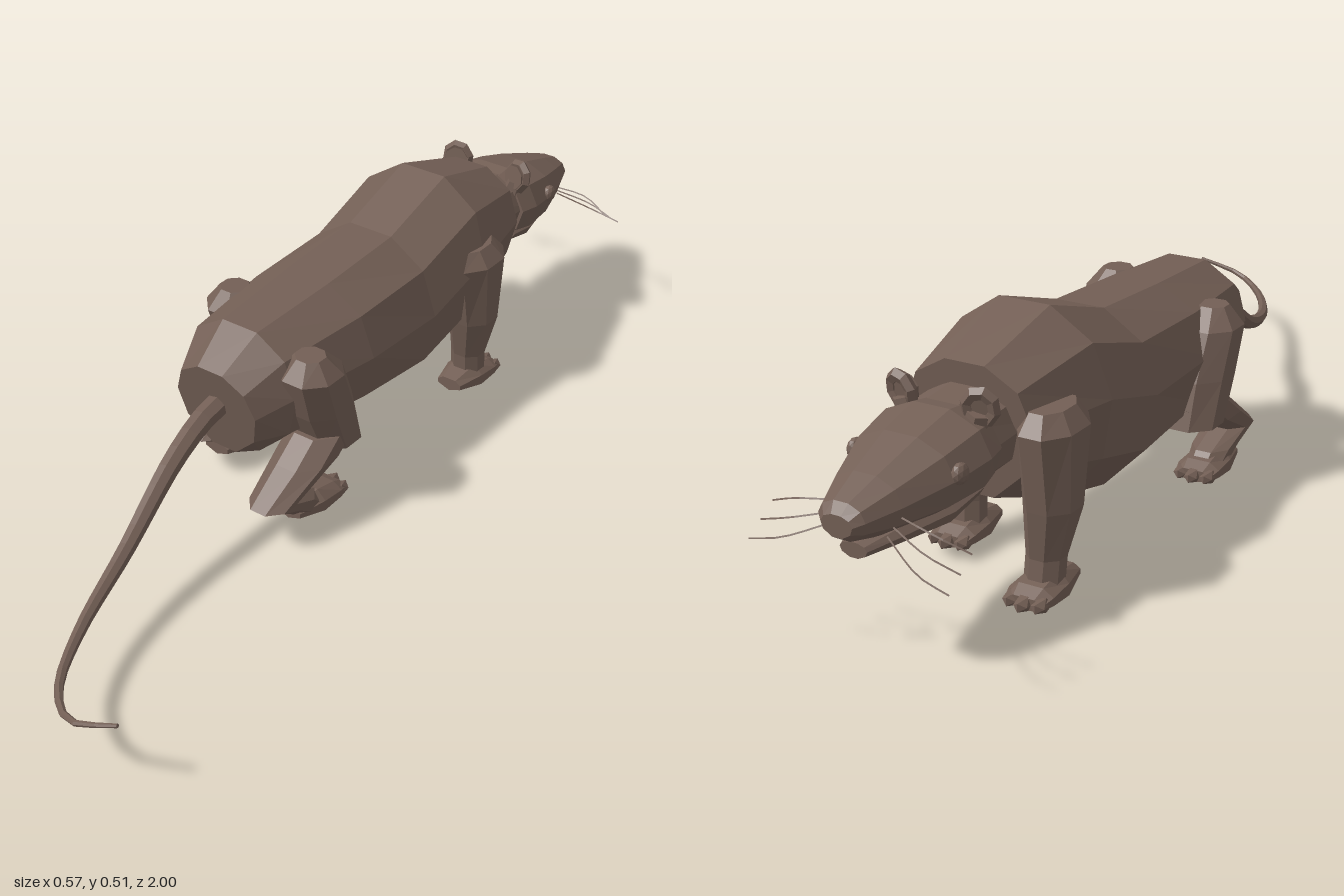
import * as THREE from 'three';

const fur = new THREE.MeshStandardMaterial({ color: 0x735f55, flatShading: true });
fur.name = 'brownFur';
const CX = -0.077; // the body's midline
const V = (x, y, z) => new THREE.Vector3(x, y, z);

// Skin a closed surface over rings of equal point counts
function loft(rings) {
  const n = rings[0].length, tri = [];
  for (let i = 0; i < rings.length - 1; i++) {
    for (let j = 0; j < n; j++) {
      const k = (j + 1) % n, a = rings[i], b = rings[i + 1];
      tri.push([a[j], a[k], b[k]], [a[j], b[k], b[j]]);
    }
  }
  const cap = (r, flip) => {
    const c = V(0, 0, 0);
    r.forEach(p => c.addScaledVector(p, 1 / n));
    r.forEach((p, j) => tri.push(flip ? [c, r[(j + 1) % n], p] : [c, p, r[(j + 1) % n]]));
  };
  cap(rings[0], true);
  cap(rings[rings.length - 1], false);
  // turn the surface outward by its signed volume
  let volume = 0;
  tri.forEach(([a, b, c]) => { volume += a.dot(V(0, 0, 0).crossVectors(b, c)); });
  const pts = tri.flatMap(([a, b, c]) => (volume < 0 ? [a, c, b] : [a, b, c]));
  const g = new THREE.BufferGeometry().setFromPoints(pts);
  g.computeVertexNormals();
  return g;
}

// Upright ten-sided section, flat on top and below
const half = [[0.31, 1], [0.8, 0.85], [1, 0.58], [0.86, 0.26], [0.31, 0]];
const section = ([z, top, bottom, w, lean = 0]) =>
  [...half, ...half.slice().reverse().map(([x, y]) => [-x, y])]
    .map(([x, y]) => V(x * w, bottom + y * (top - bottom), z + lean * (y - 0.5)));

// Level eight-sided section for limbs
const limbRing = ([x, y, z, rx, rz, tilt = 0]) => Array.from({ length: 8 }, (_, i) => {
  const a = (i + 0.5) / 8 * Math.PI * 2, s = 1 / Math.cos(Math.PI / 8);
  return V(x + Math.cos(a) * rx * s, y + Math.sin(a) * tilt, z + Math.sin(a) * rz * s);
});

// Foot section with a keeled sole
const footRing = ([z, top, bottom, w]) =>
  [[0.55, 1], [1, 0.7], [1, 0.36], [0, 0], [-1, 0.36], [-1, 0.7], [-0.55, 1]]
    .map(([x, y]) => V(x * w, bottom + y * (top - bottom), z));

export function createModel() {
  const model = new THREE.Group();
  model.name = 'rat';
  const add = (parent, name, geometry) => {
    const m = new THREE.Mesh(geometry, fur);
    m.name = name;
    parent.add(m);
    return m;
  };
  const group = (name, x = 0, z = 0) => {
    const g = new THREE.Group();
    g.name = name;
    g.position.set(x, 0, z);
    model.add(g);
    return g;
  };
  const trunk = group('trunk', CX);

  // Torso: z, top, bottom, half width, lean
  add(trunk, 'torso', loft([
    [0.278, 0.37, 0.17, 0.1, 0.035], [0.2, 0.428, 0.145, 0.14], [-0.02, 0.44, 0.118, 0.17],
    [-0.24, 0.452, 0.085, 0.172], [-0.42, 0.515, 0.125, 0.178, -0.03], [-0.62, 0.457, 0.2, 0.135, -0.02],
  ].map(section)));

  // Neck, skull and jaw
  add(trunk, 'neck', loft([[-0.56, 0.42, 0.24, 0.1], [-0.72, 0.405, 0.25, 0.105]].map(section)));
  add(trunk, 'head', loft([
    [-0.685, 0.405, 0.25, 0.112], [-0.73, 0.412, 0.238, 0.122], [-0.82, 0.392, 0.24, 0.11],
    [-0.92, 0.358, 0.25, 0.075], [-0.985, 0.333, 0.265, 0.048], [-1, 0.315, 0.275, 0.032],
  ].map(section)));
  add(trunk, 'jaw', loft([
    [-0.7, 0.29, 0.235, 0.085], [-0.78, 0.28, 0.212, 0.08],
    [-0.9, 0.262, 0.22, 0.05], [-0.96, 0.25, 0.222, 0.028],
  ].map(section)));
  add(trunk, 'nose', new THREE.IcosahedronGeometry(0.02, 0)).position.set(0, 0.3, -0.978);

  for (const s of [1, -1]) {
    const eye = add(trunk, 'eye', new THREE.IcosahedronGeometry(0.02, 1));
    eye.position.set(s * 0.108, 0.337, -0.805);
    eye.scale.x = 0.7;

    // Cupped ear: a thick rim around a thin shell
    const ear = new THREE.Group();
    ear.name = 'ear';
    ear.position.set(s * 0.082, 0.415, -0.703);
    ear.rotation.set(-0.15, s * -0.25, s * -0.3);
    trunk.add(ear);
    const rim = add(ear, 'earRim', new THREE.TorusGeometry(0.026, 0.012, 5, 8));
    rim.scale.y = 1.1;
    const shell = add(ear, 'earShell', new THREE.CylinderGeometry(0.028, 0.022, 0.02, 8));
    shell.rotation.x = Math.PI / 2;
    shell.position.z = 0.006;
    add(ear, 'earRoot', new THREE.CylinderGeometry(0.022, 0.028, 0.05, 6)).position.y = -0.035;

    // Three whiskers per side
    for (let i = 0; i < 3; i++) {
      const y = 0.295 - i * 0.015;
      add(trunk, 'whisker', new THREE.TubeGeometry(new THREE.CatmullRomCurve3([
        V(s * 0.055, y, -0.915 - i * 0.012),
        V(s * 0.14, y - 0.01 - i * 0.012, -0.93 - i * 0.022),
        V(s * 0.205, 0.26 - i * 0.022, -0.915 - i * 0.033),
      ]), 6, 0.0018, 3));
    }
  }

  // Legs at mid stride: the left pair trails the right
  const addFoot = (leg, x, z) => {
    const foot = new THREE.Group();
    foot.name = 'foot';
    foot.position.set(x, 0, z);
    leg.add(foot);
    add(foot, 'paw', loft([
      [0.085, 0.055, 0.025, 0.03], [0.02, 0.07, 0, 0.046],
      [-0.035, 0.058, 0.012, 0.047], [-0.06, 0.045, 0.018, 0.04],
    ].map(footRing)));
    for (let i = -1; i <= 1; i++) {
      const toe = add(foot, 'toe', new THREE.IcosahedronGeometry(0.018, 0));
      toe.position.set(i * 0.03, 0.033, -0.057 + Math.abs(i) * 0.01);
      toe.scale.set(0.95, 0.9, 1.6);
    }
  };

  for (const s of [1, -1]) {
    const side = s > 0 ? 'left' : 'right';

    // Hind leg: heavy thigh, folded shin and raised heel
    const hind = group(side + 'HindLeg', CX, s > 0 ? 0 : -0.12);
    add(hind, 'thigh', loft([
      [s * 0.145, 0.395, 0.16, 0.03, 0.03], [s * 0.145, 0.355, 0.155, 0.06, 0.065],
      [s * 0.14, 0.26, 0.12, 0.062, 0.07], [s * 0.138, 0.165, 0.085, 0.06, 0.06],
    ].map(limbRing)));
    add(hind, 'shin', loft([
      [s * 0.138, 0.205, 0.105, 0.058, 0.07], [s * 0.138, 0.16, 0.165, 0.058, 0.07],
      [s * 0.134, 0.1, 0.272, 0.045, 0.05], [s * 0.131, 0.07, 0.21, 0.042, 0.055],
      [s * 0.131, 0.03, 0.16, 0.036, 0.045],
    ].map(limbRing)));
    addFoot(hind, s * 0.131, s > 0 ? 0.135 : 0.17);

    // Front leg: broad shoulder tapering to the wrist
    const front = group(side + 'FrontLeg', CX, s > 0 ? -0.43 : -0.57);
    add(front, 'foreleg', loft([
      [s * 0.14, 0.385, 0.005, 0.035, 0.055], [s * 0.145, 0.35, 0, 0.056, 0.08],
      [s * 0.145, 0.2, -0.005, 0.05, 0.055], [s * 0.133, 0.1, -0.01, 0.036, 0.034],
      [s * 0.131, 0.05, -0.015, 0.036, 0.034],
    ].map(limbRing)));
    addFoot(front, s * 0.131, -0.025);
  }

  // Tail: tapering rings swept along a curve
  const path = new THREE.CatmullRomCurve3([
    V(-0.077, 0.285, 0.24), V(-0.074, 0.277, 0.32), V(-0.062, 0.24, 0.43), V(-0.03, 0.15, 0.61),
    V(0.025, 0.108, 0.8), V(0.1, 0.109, 0.93), V(0.19, 0.13, 0.993), V(0.285, 0.16, 0.975),
  ]);
  const steps = 22, frames = path.computeFrenetFrames(steps);
  const tail = [];
  for (let i = 0; i <= steps; i++) {
    const t = i / steps, c = path.getPointAt(t), r = 0.026 - 0.022 * t;
    tail.push(Array.from({ length: 7 }, (_, j) => {
      const a = j / 7 * Math.PI * 2;
      return c.clone().addScaledVector(frames.normals[i], Math.cos(a) * r)
        .addScaledVector(frames.binormals[i], Math.sin(a) * r);
    }));
  }
  add(model, 'tail', loft(tail));
  return model;
}
